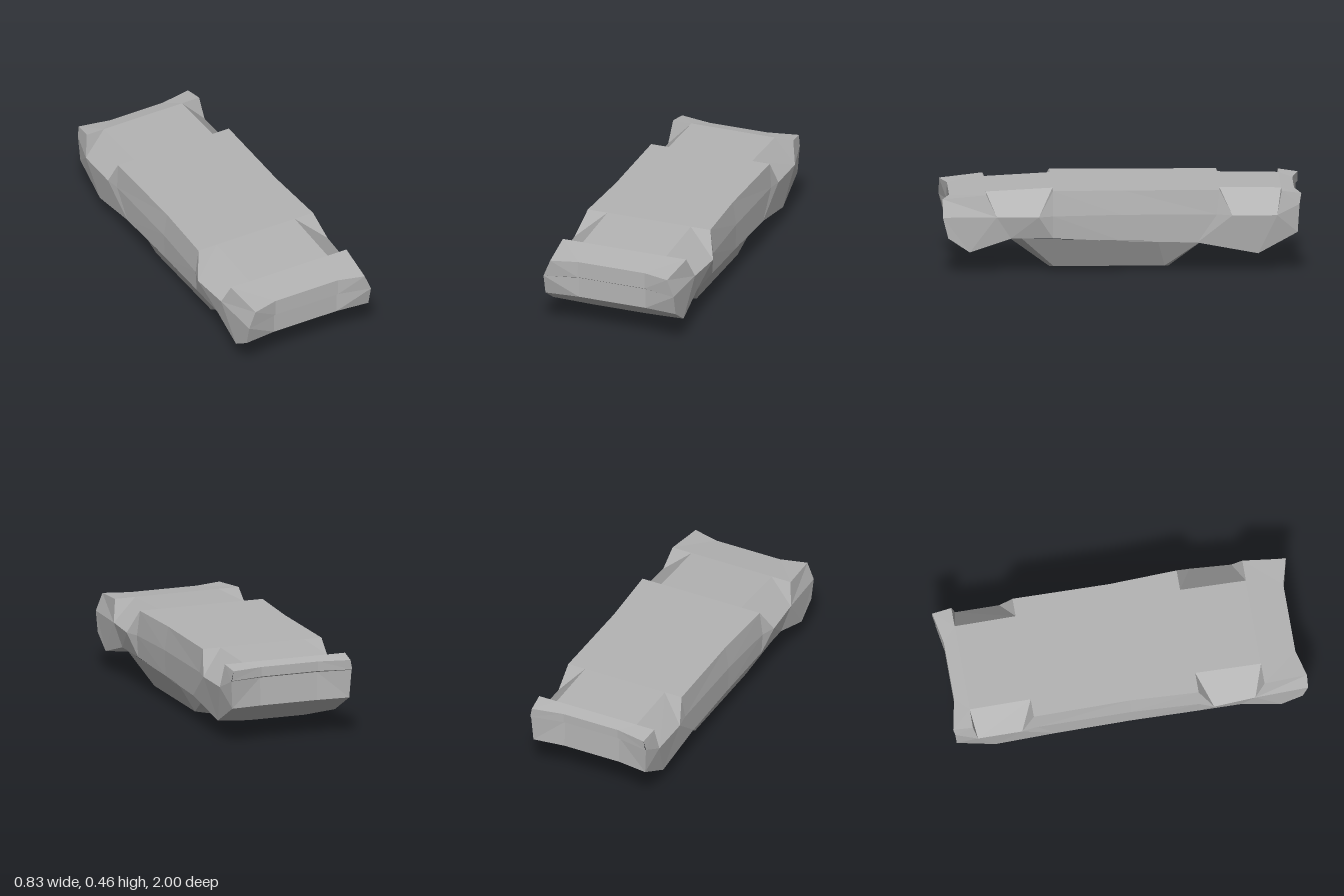
import * as THREE from 'three';

const grey = new THREE.MeshStandardMaterial({ color: 0xb4b4b4, flatShading: true });
grey.name = 'plain grey';

// Faceted skin between rows of half-section points, mirrored across x = 0.
function skin(name, rows) {
  const pos = [];
  const tri = (a, b, c) => {
    const [u, v, w] = [a, b, c].map(p => new THREE.Vector3(...p));
    if (v.clone().sub(u).cross(w.clone().sub(u)).length() < 1e-7) return;
    pos.push(...a, ...b, ...c);
    pos.push(...[a, c, b].flatMap(([x, y, z]) => [-x, y, z]));
  };
  for (let i = 0; i + 1 < rows.length; i++) {
    for (let j = 0; j + 1 < rows[i].length; j++) {
      const a = rows[i][j], b = rows[i][j + 1], c = rows[i + 1][j + 1], d = rows[i + 1][j];
      tri(a, b, c);
      tri(a, c, d);
    }
  }
  const g = new THREE.BufferGeometry();
  g.setAttribute('position', new THREE.Float32BufferAttribute(pos, 3));
  g.computeVertexNormals();
  const mesh = new THREE.Mesh(g, grey);
  mesh.name = name;
  return mesh;
}

// Half section: flat floor on top, sill, shoulder, then the lower deck.
// inner, edge, sill, shoulder and deck are [x, y, z]; the centre points follow from them.
const section = (inner, edge, sill, shoulder, deck) =>
  [[0, inner[1], inner[2]], inner, edge, sill, shoulder, deck, [0, deck[1], deck[2]]];

export function createModel() {
  const model = new THREE.Group();
  model.name = 'upturnedCarBody';

  // Corners of the four wheel arches
  const fa = [0.25, 0.44, 0.757], fb = [0.25, 0.46, 0.385];
  const ra = [0.25, 0.46, -0.545], rb = [0.25, 0.455, -0.89];
  const fSill = [0.4, 0.32, 0.7], fSill2 = [0.415, 0.32, 0.465];
  const rSill = [0.38, 0.32, -0.615], rSill2 = [0.38, 0.32, -0.865];
  const nose = [[0.39, 0.12, 0.85], [0.165, 0.1, 0.82]];
  const cowl = [[0.38, 0.195, 0.62], [0.2, 0.19, 0.62]];
  const tailBase = [[0.365, 0.165, -0.42], [0.2, 0.17, -0.42]];
  const tail = [[0.35, 0.1, -0.76], [0.17, 0.085, -0.76]];

  const front = section([0.2, 0.415, 0.96], [0.35, 0.415, 1], [0.39, 0.317, 1], [0.39, 0.2, 0.97], [0.2, 0.195, 0.945]);
  const rear = section([0.17, 0.44, -0.965], [0.35, 0.44, -1], [0.36, 0.38, -0.99], [0.35, 0.22, -0.98], [0.17, 0.215, -0.95]);

  // Main shell; a repeated inner point opens the sloping wheel arch
  model.add(skin('bodyShell', [
    front,
    section(fa, [0.37, 0.44, 0.757], fSill, ...nose),
    section(fa, fa, fSill, ...nose),
    section(fb, fb, fSill2, ...cowl),
    section(fb, [0.367, 0.46, 0.385], fSill2, ...cowl),
    section(fb, [0.367, 0.46, 0.385], [0.385, 0.32, 0.385], [0.378, 0.195, 0.385], [0.2, 0.19, 0.385]),
    section([0.25, 0.46, 0], [0.35, 0.46, 0], [0.37, 0.325, 0], [0.365, 0.175, 0], [0.2, 0.18, 0]),
    section(ra, [0.355, 0.46, -0.545], [0.37, 0.325, -0.53], ...tailBase),
    section(ra, [0.355, 0.46, -0.545], rSill, ...tailBase),
    section(ra, ra, rSill, ...tailBase),
    section(rb, rb, rSill2, ...tail),
    section(rb, [0.36, 0.455, -0.89], rSill2, ...tail),
    rear,
  ]));

  // Front end with a thin lip under the upper band
  model.add(skin('frontEnd', [
    [front[6], front[5], front[4]],
    [[0, 0.312, 0.945], [0.2, 0.312, 0.945], front[3]],
    [[0, 0.322, 0.962], [0.2, 0.322, 0.962], front[3]],
    front.slice(0, 3),
  ]));

  // Rear end with an overhanging lip
  model.add(skin('rearEnd', [
    front.slice(0, 3).map((_, i) => rear[i]),
    [[0, 0.385, -0.965], [0.17, 0.385, -0.965], [0.36, 0.385, -1]],
    [[0, 0.375, -0.945], [0.17, 0.375, -0.945], rear[3]],
    [rear[6], rear[5], rear[4]],
  ]));

  // Cabin hanging below, tapering to the roof
  model.add(skin('cabin', [
    [[0.376, 0.195, 0.56], [0.31, 0.185, 0.6], [0.165, 0.175, 0.64], [0, 0.175, 0.64]],
    [[0.374, 0.19, 0.36], [0.283, 0.022, 0.38], [0.165, 0.002, 0.4], [0, 0, 0.4]],
    [[0.365, 0.175, -0.2], [0.283, 0.022, -0.24], [0.165, 0.002, -0.265], [0, 0, -0.265]],
    [[0.36, 0.168, -0.41], [0.3, 0.165, -0.45], [0.165, 0.16, -0.48], [0, 0.16, -0.48]],
  ]));

  return model;
}
